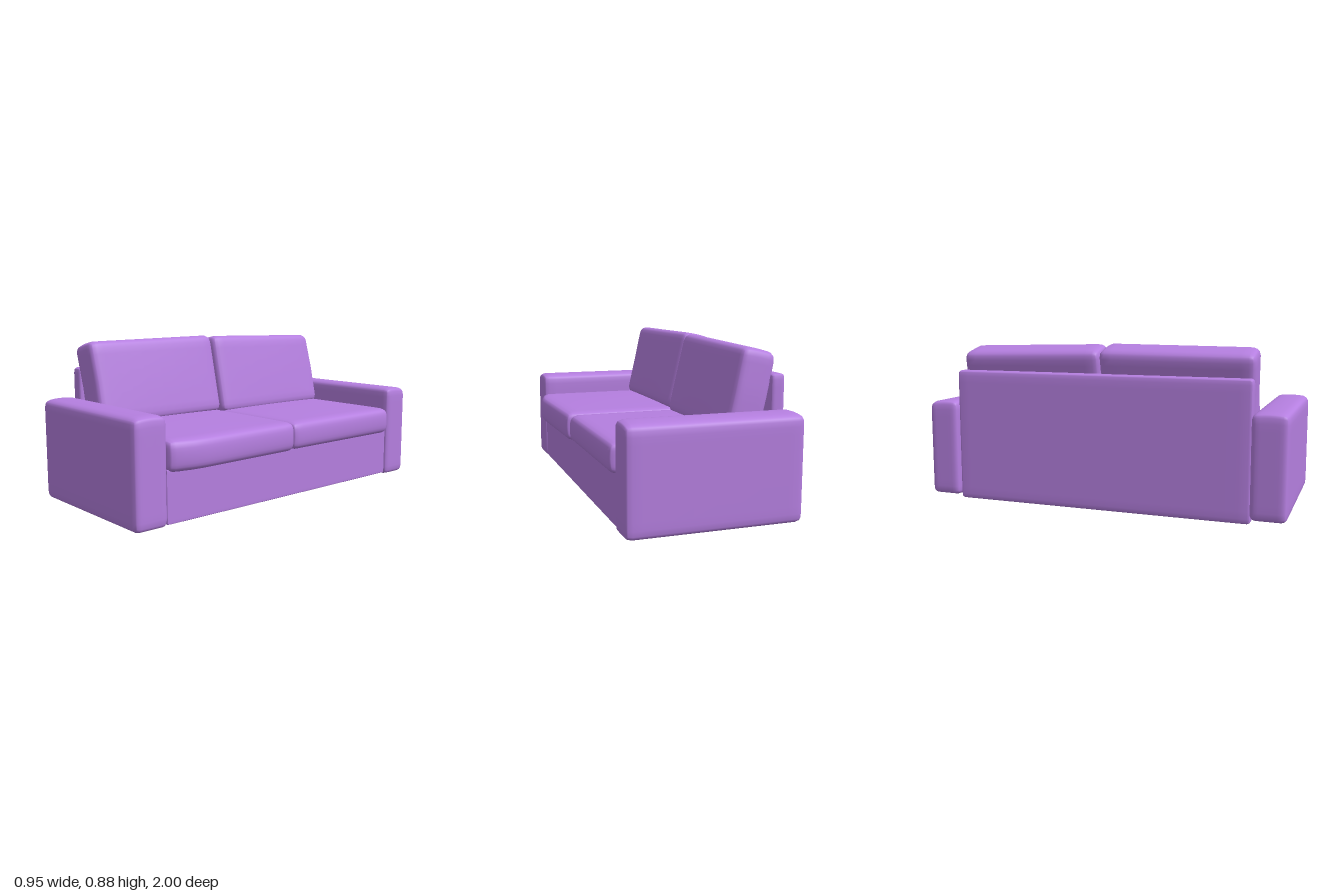
import * as THREE from 'three';
import { mergeVertices } from 'three/addons/utils/BufferGeometryUtils.js';

const upholstery = new THREE.MeshStandardMaterial({ color: 0xb57fe0 });

// Softly rounded box between two corners; warp(p, u) may then shift each vertex,
// u being its place in the box from -1 to 1.
function softBox(name, min, max, radius, warp, n = 14) {
  const lo = new THREE.Vector3(...min), hi = new THREE.Vector3(...max);
  const half = hi.clone().sub(lo).multiplyScalar(0.5);
  const centre = lo.clone().add(hi).multiplyScalar(0.5);
  const inner = half.clone().subScalar(radius);
  let geo = new THREE.BoxGeometry(2, 2, 2, n, n, n);
  geo.deleteAttribute('normal');
  geo.deleteAttribute('uv');
  geo = mergeVertices(geo);

  // Crowd the grid lines towards the edges, where the rounding is
  const spread = (t) => Math.sign(t) * (1 - Math.pow(1 - Math.min(1, Math.abs(t)), 2));
  const pos = geo.attributes.position;
  const p = new THREE.Vector3(), core = new THREE.Vector3(), u = new THREE.Vector3();
  for (let i = 0; i < pos.count; i++) {
    p.fromBufferAttribute(pos, i);
    p.set(spread(p.x), spread(p.y), spread(p.z)).multiply(half);
    core.copy(p).clamp(inner.clone().negate(), inner);
    p.sub(core).setLength(radius).add(core);
    u.copy(p).divide(half);
    if (warp) warp(p, u);
    pos.setXYZ(i, p.x, p.y, p.z);
  }
  geo.computeVertexNormals();
  const mesh = new THREE.Mesh(geo, upholstery);
  mesh.position.copy(centre);
  mesh.name = name;
  return mesh;
}

const bulge = (t) => 1 - t * t;

export function createModel() {
  const sofa = new THREE.Group();
  sofa.name = 'sofa';

  // Arms, with slightly crowned tops; the right one slopes down outwards
  const crown = (slope) => (p, u) => {
    if (u.y > 0) p.y += u.y * (0.009 * bulge(u.z) + slope * u.z);
  };
  sofa.add(
    softBox('leftArm', [-0.468, 0.02, 0.81], [0.422, 0.556, 1], 0.035, crown(0)),
    softBox('rightArm', [-0.475, 0.017, -1], [0.425, 0.545, -0.822], 0.035, crown(0.005)),
  );

  // Frame: back panel, thin front panel and a lining inside the back and sides
  sofa.add(
    softBox('backPanel', [-0.457, 0, -0.822], [-0.379, 0.725, 0.82], 0.022),
    softBox('frontPanel', [0.39, 0.03, -0.825], [0.411, 0.3, 0.815], 0.006),
    softBox('backLining', [-0.385, 0.08, -0.822], [-0.37, 0.29, 0.815], 0.005, null, 8),
    softBox('leftLining', [-0.38, 0.06, 0.8], [0.4, 0.29, 0.815], 0.005, null, 8),
    softBox('rightLining', [-0.38, 0.06, -0.826], [0.4, 0.29, -0.81], 0.005, null, 8),
  );

  for (const side of [1, -1]) {
    const left = side > 0;
    const label = left ? 'left' : 'right';
    const z0 = left ? 0.002 : -0.815, z1 = left ? 0.815 : -0.002;

    // Seat cushion: front swells outwards, underside sags inside the frame
    const top = left ? 0.442 : 0.436;
    sofa.add(softBox(label + 'SeatCushion', [-0.36, 0.283, z0], [0.436, top, z1], 0.035, (p, u) => {
      if (u.x > 0) {
        p.x += u.x * 0.012 * bulge(u.y);
        const skew = u.z < 0.6 ? 0.023 + 0.009 * u.z : 0.0284 - 0.09 * (u.z - 0.6);
        if (left) p.x += u.x * skew;
      }
      if (u.y > 0) p.y += 0.006 * u.y * bulge(u.z) * bulge(u.x);
      else {
        const depth = left ? 0.028 - 0.025 * u.z : 0.035;
        p.y += u.y * depth * (1 - THREE.MathUtils.smoothstep(u.x, 0.6, 0.85));
      }
    }));

    // Back cushion, leaning back against the panel
    const cushion = softBox(label + 'BackCushion', [-0.095, -0.24, z0], [0.095, 0.212, z1], 0.042, (p, u) => {
      if (u.x > 0) p.x += 0.004 * u.x * bulge(u.y) * bulge(u.z);
      // Outer top corner: full on the left cushion, drawn in on the right
      if (u.y > 0 && u.z * side > 0) p.z += u.z * u.y * (left ? 0.01 : -0.012);
      if (u.y > 0) {
        p.y += u.y * (left ? -0.004 * u.z : 0.01 * u.z);
        p.y += u.y * 0.006 * bulge(u.x);
      }
    });
    cushion.rotation.z = THREE.MathUtils.degToRad(13);
    cushion.position.x = left ? -0.293 : -0.281;
    cushion.position.y = left ? 0.638 : 0.628;
    sofa.add(cushion);
  }

  return sofa;
}
